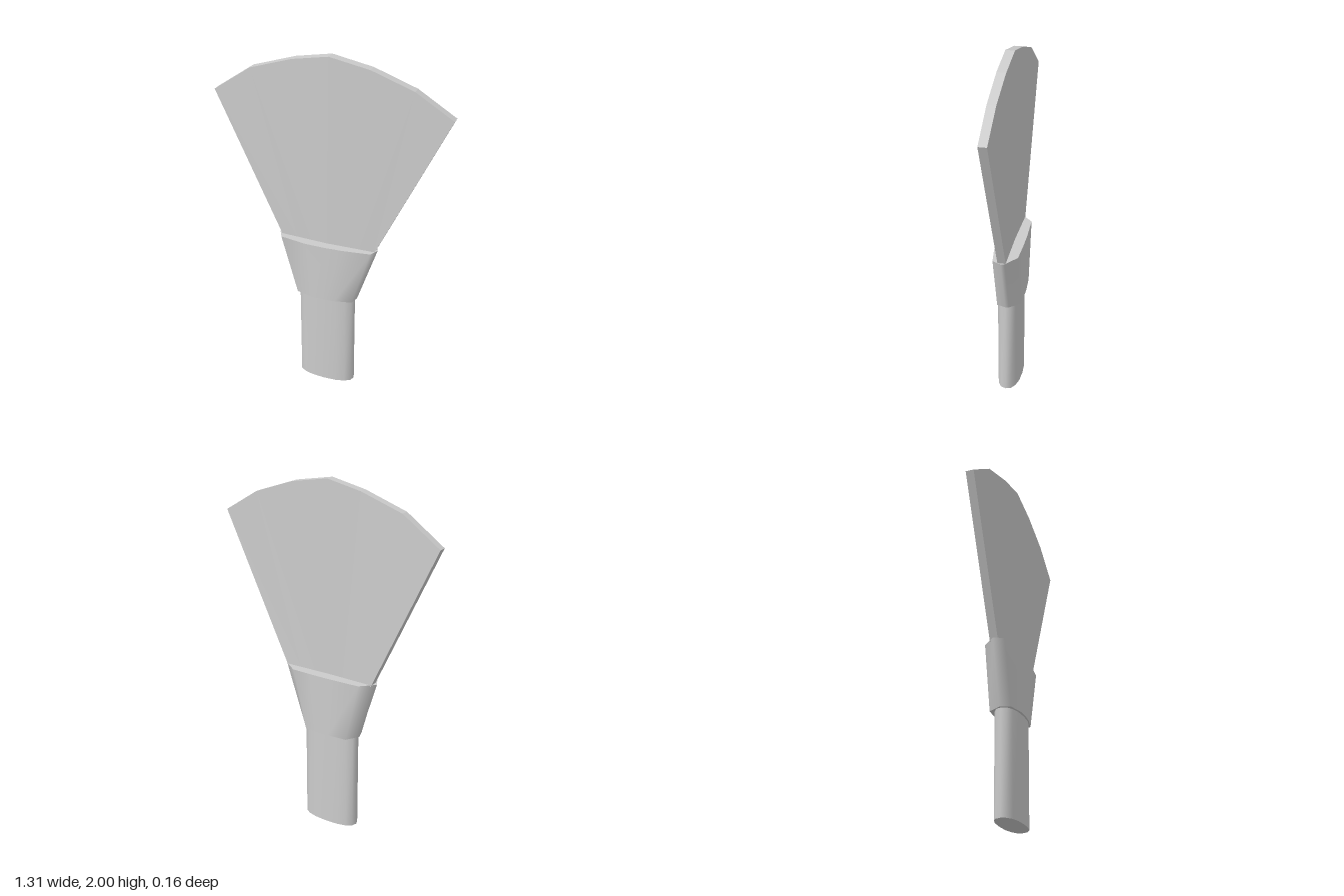
import * as THREE from 'three';

const material = () => new THREE.MeshStandardMaterial({ color: 0xcccccc, side: THREE.DoubleSide });

// Joins two matching rings of [x, y, z] points with smooth walls and flat, separately shaded caps.
function loft(lower, upper) {
  const n = lower.length;
  const points = [...lower, ...upper, ...lower, ...upper];
  const index = [];
  for (let i = 0; i < n; i++) {
    const j = (i + 1) % n;
    index.push(i, n + i, j, j, n + i, n + j);
  }
  for (let i = 1; i < n - 1; i++) {
    index.push(2 * n, 2 * n + i, 2 * n + i + 1);
    index.push(3 * n, 3 * n + i + 1, 3 * n + i);
  }
  const geometry = new THREE.BufferGeometry();
  geometry.setAttribute('position', new THREE.Float32BufferAttribute(points.flat(), 3));
  geometry.setIndex(index);
  geometry.computeVertexNormals();
  return geometry;
}

// Flattened oval ring, slightly squarer than an ellipse.
function oval(y, cx, cz, rx, rz, sides = 16) {
  const soften = (v) => Math.sign(v) * Math.pow(Math.abs(v), 0.85);
  return Array.from({ length: sides }, (_, i) => {
    const a = (i / sides) * Math.PI * 2;
    return [cx + rx * soften(Math.cos(a)), y, cz + rz * soften(Math.sin(a))];
  });
}

// Fan slab built from columns running left to right, slightly bowed in z.
function fanGeometry() {
  const rim = [[-0.655, 1.73], [-0.44, 1.88], [-0.2, 1.96], [0, 2], [0.22, 1.96], [0.45, 1.88], [0.655, 1.755]];
  const corners = rim.map(([x, y], i) => {
    const bow = 1 - Math.abs(i - 3) / 3;
    const back = -0.025 + 0.005 * bow;
    const front = 0.02 + 0.01 * bow;
    const baseX = -0.28 + 0.54 * (i / 6);
    return [[baseX, 0.91, front], [x, y, front], [x, y, back], [baseX, 0.91, back]];
  });
  const points = corners.flat(2);
  const index = [0, 1, 2, 0, 2, 3];
  for (let c = 0; c < rim.length - 1; c++) {
    for (let k = 0; k < 4; k++) {
      const a = c * 4 + k;
      const b = c * 4 + ((k + 1) % 4);
      index.push(a, a + 4, b, b, a + 4, b + 4);
    }
  }
  const e = (rim.length - 1) * 4;
  index.push(e, e + 2, e + 1, e, e + 3, e + 2);
  const geometry = new THREE.BufferGeometry();
  geometry.setAttribute('position', new THREE.Float32BufferAttribute(points, 3));
  geometry.setIndex(index);
  const flat = geometry.toNonIndexed();
  flat.computeVertexNormals();
  return flat;
}

export function createModel() {
  const group = new THREE.Group();
  const add = (name, geometry) => {
    const mesh = new THREE.Mesh(geometry, material());
    mesh.name = name;
    group.add(mesh);
  };

  // Oval handle
  add('handle', loft(oval(0, -0.018, 0.002, 0.167, 0.067), oval(0.6, -0.018, 0.002, 0.167, 0.067)));

  // Flared ferrule: narrow base, wide faceted mouth
  const mouth = [
    [0.275, 0], [0.25, 0.05], [0.1, 0.072], [0, 0.079], [-0.12, 0.079], [-0.275, 0.055],
    [-0.305, 0], [-0.23, -0.072], [-0.05, -0.08], [0.07, -0.08], [0.19, -0.077], [0.27, -0.02],
  ];
  const base = mouth.map(([x, z]) => [-0.02 + (x + 0.015) * 0.62, 0.575, z]);
  add('ferrule', loft(base, mouth.map(([x, z]) => [x, 0.92, z])));

  // Fan of bristles
  add('bristleFan', fanGeometry());

  return group;
}
